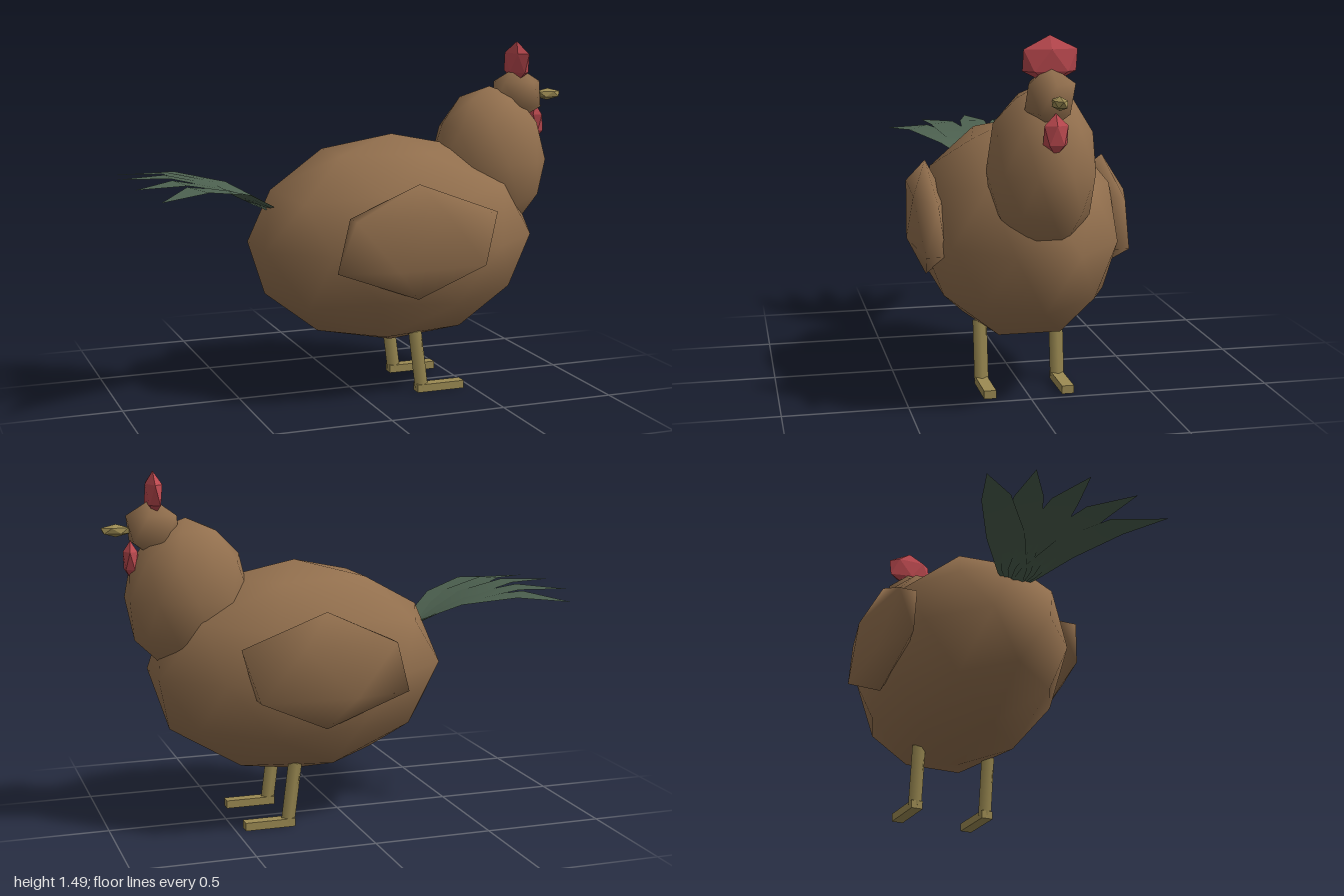
import * as THREE from 'three';

const makeMaterial = (name, color, side = THREE.FrontSide) => {
  const m = new THREE.MeshStandardMaterial({ color, side });
  m.name = name;
  return m;
};

// Low-poly ellipsoid: icosahedron standing on a corner, stretched to the given radii
function blob(name, material, center, radii, detail, smooth) {
  const g = new THREE.IcosahedronGeometry(1, detail);
  g.rotateZ(-Math.atan2(1, (1 + Math.sqrt(5)) / 2));
  if (smooth) g.setAttribute('normal', g.attributes.position.clone());
  g.scale(...radii);
  const mesh = new THREE.Mesh(g, material);
  mesh.name = name;
  mesh.position.set(...center);
  return mesh;
}

// Curved tapering blade running from the tail root to a pointed tip
function feather(material, tipX, tipZ) {
  const root = new THREE.Vector2(-0.35, 0);
  const dir = new THREE.Vector2(tipX, tipZ).sub(root);
  const length = dir.length();
  dir.normalize();
  // fraction of the length, half width, height
  const stations = [[0, 0.03, 0.805], [0.09, 0.06, 0.835], [0.34, 0.078, 0.915], [0.68, 0.058, 0.968], [1, 0, 0.966]];
  const points = [], index = [];
  stations.forEach(([t, w, y], i) => {
    for (const s of [-1, 1]) {
      const x = root.x + dir.x * length * t - s * w * dir.y;
      const z = dir.y * length * t + s * w * dir.x;
      points.push(x, y - 0.25 * z * z, z);
    }
    const a = i * 2;
    if (i < stations.length - 1) index.push(a, a + 1, a + 2, a + 1, a + 3, a + 2);
  });
  const g = new THREE.BufferGeometry();
  g.setAttribute('position', new THREE.Float32BufferAttribute(points, 3));
  g.setIndex(index);
  g.computeVertexNormals();
  const mesh = new THREE.Mesh(g, material);
  mesh.name = 'tailFeather';
  return mesh;
}

export function createModel() {
  const brown = makeMaterial('brown plumage', 0x93704e);
  const red = makeMaterial('red comb', 0xb9484e);
  const yellow = makeMaterial('dull yellow', 0x9c8b53);
  const green = makeMaterial('dark green', 0x4c604f, THREE.DoubleSide);

  const model = new THREE.Group();
  model.name = 'hen';

  // Body, neck and head
  model.add(
    blob('body', brown, [0.19, 0.652, 0], [0.641, 0.453, 0.41], 1, true),
    blob('neck', brown, [0.65, 0.97, 0], [0.26, 0.325, 0.215], 1, true),
    blob('head', brown, [0.785, 1.257, 0], [0.122, 0.12, 0.105], 0, true),
    blob('comb', red, [0.78, 1.395, 0], [0.036, 0.092, 0.12], 0, false),
    blob('wattle', red, [0.878, 1.13, 0], [0.034, 0.08, 0.053], 0, false),
    blob('beak', yellow, [0.935, 1.252, 0], [0.067, 0.026, 0.03], 0, false),
  );

  // Wings, legs and feet, one per side
  for (const side of [-1, 1]) {
    model.add(blob('wing', brown, [0.165, 0.7, side * 0.375], [0.395, 0.24, 0.076], 0, true));

    const leg = new THREE.Mesh(new THREE.CylinderGeometry(0.03, 0.03, 0.255, 4), yellow);
    leg.name = 'leg';
    leg.position.set(0.255, 0.145, side * 0.162);
    leg.rotation.z = 0.13;
    const foot = new THREE.Mesh(new THREE.BoxGeometry(0.215, 0.034, 0.05), yellow);
    foot.name = 'foot';
    foot.position.set(0.353, 0.017, side * 0.162);
    model.add(leg, foot);
  }

  // Tail fan
  const tail = new THREE.Group();
  tail.name = 'tail';
  const tips = [[-0.995, 0], [-0.97, 0.22], [-0.97, -0.22], [-0.905, 0.395], [-0.905, -0.395]];
  for (const [x, z] of tips) tail.add(feather(green, x, z));
  model.add(tail);

  return model;
}
